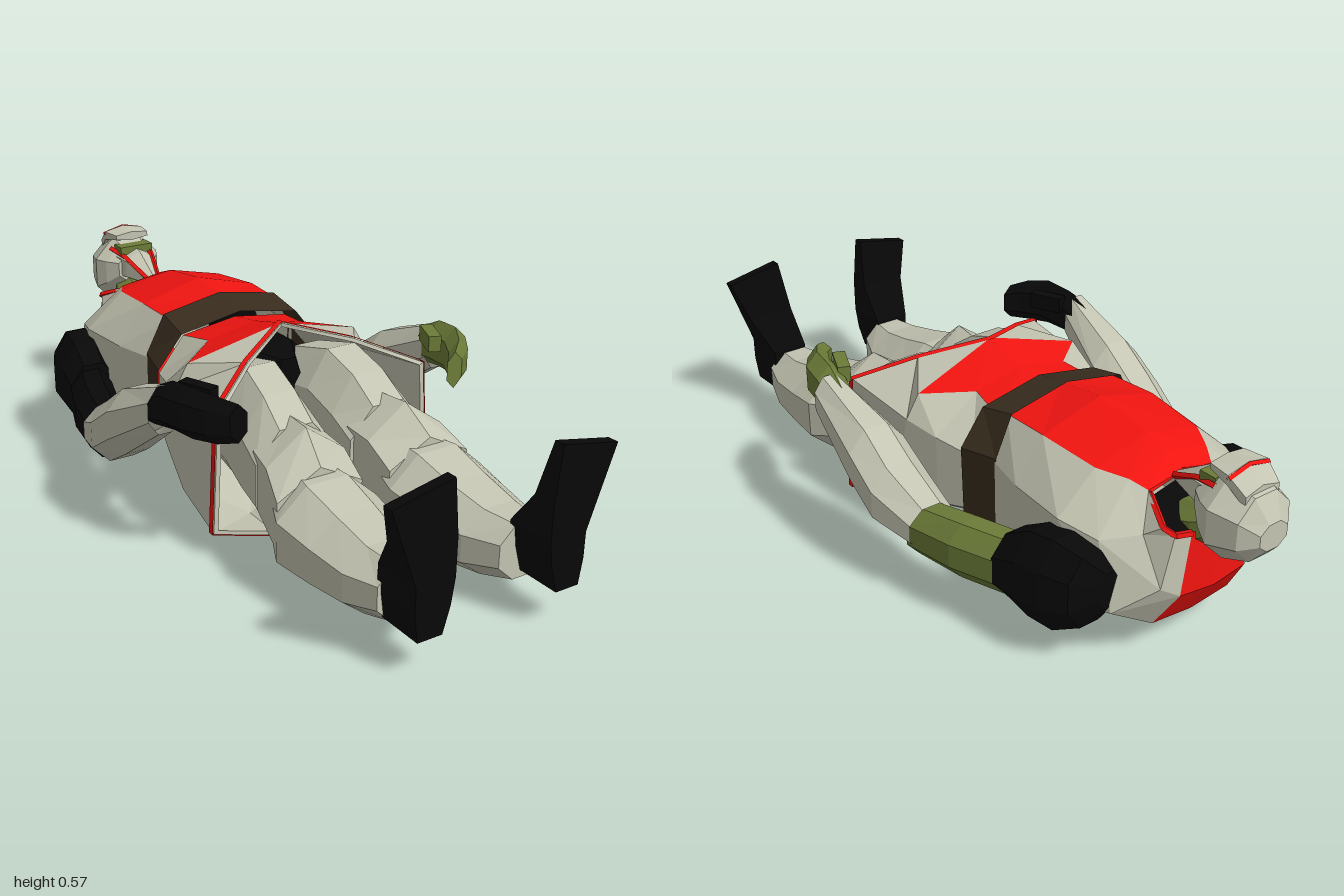
import * as THREE from 'three';

const mat = (color) => new THREE.MeshStandardMaterial({ color, flatShading: true, side: THREE.DoubleSide });
const CLOTH = mat(0xc4c4b2), RED = mat(0xf01410), GREEN = mat(0x6c7c38), BLACK = mat(0x080808), BROWN = mat(0x382c1e);

// Skin a list of equally long point rows
function grid(name, rows, material) {
  const pos = [];
  for (let i = 0; i < rows.length - 1; i++) {
    for (let j = 0; j < rows[i].length - 1; j++) {
      const a = rows[i][j], b = rows[i][j + 1], c = rows[i + 1][j + 1], d = rows[i + 1][j];
      pos.push(...a, ...b, ...d, ...b, ...c, ...d);
    }
  }
  const geo = new THREE.BufferGeometry();
  geo.setAttribute('position', new THREE.Float32BufferAttribute(pos, 3));
  geo.computeVertexNormals();
  const mesh = new THREE.Mesh(geo, material);
  mesh.name = name;
  return mesh;
}

// Elliptic sections [z, cx, cy, rx, ry] along z, with s = -1 for the mirrored side
function loft(name, sections, material, { s = 1, n = 8, caps = true } = {}) {
  const rows = sections.map(([z, cx, cy, rx, ry]) =>
    Array.from({ length: n + 1 }, (_, j) => {
      const t = ((j + 0.5) / n) * Math.PI * 2, k = 1 / Math.cos(Math.PI / n);
      return [s * (cx + rx * k * Math.cos(t)), cy + ry * k * Math.sin(t), z];
    }));
  if (caps) {
    const centre = ([z, cx, cy]) => Array(n + 1).fill([s * cx, cy, z]);
    rows.unshift(centre(sections[0]));
    rows.push(centre(sections[sections.length - 1]));
  }
  return grid(name, rows, material);
}

function box(name, [w, h, d], [x, y, z], material, ry = 0) {
  const mesh = new THREE.Mesh(new THREE.BoxGeometry(w, h, d), material);
  mesh.position.set(x, y, z);
  mesh.rotation.y = ry;
  mesh.name = name;
  return mesh;
}

// Thin piping through points
function piping(name, points, r) {
  const path = new THREE.CurvePath();
  const v = points.map((p) => new THREE.Vector3(...p));
  for (let i = 1; i < v.length; i++) path.add(new THREE.LineCurve3(v[i - 1], v[i]));
  const mesh = new THREE.Mesh(new THREE.TubeGeometry(path, 24, r, 4), RED);
  mesh.name = name;
  return mesh;
}

// Half body section: front centre, front panel edge, upper side, lower side, back panel edge, back centre
const half = ([z, slant, xF, yFC, yFE, xS, yU, yL, xB, yBE, yBC]) =>
  [[0, yFC], [xF, yFE], [xS, yU], [xS, yL], [xB, yBE], [0, yBC]].map(([x, y]) => [x, y, z + slant * (y - 0.2)]);
const flip = (row, s) => row.map(([x, y, z]) => [s * x, y, z]);
const cols = (rows, a, b) => rows.map((r) => r.slice(a, b + 1));
// Scale a section about the body axis and slide it along z
const swell = (row, k, dz = 0) => row.map(([x, y, z]) => [x * k, 0.26 + (y - 0.26) * k, z + dz]);

const COLLAR = [[0, 0.43, -0.69], [0.1, 0.42, -0.70], [0.14, 0.385, -0.79], [0.125, 0.37, -0.815], [0.08, 0.365, -0.825], [0, 0.365, -0.825]];
const CHEST = [COLLAR, ...[
  [-0.83, 0.57, 0.105, 0.44, 0.43, 0.16, 0.35, 0.23, 0.11, 0.20, 0.19],
  [-0.73, 0.30, 0.13, 0.475, 0.45, 0.25, 0.34, 0.16, 0.13, 0.09, 0.08],
  [-0.58, 0, 0.17, 0.50, 0.46, 0.285, 0.36, 0.14, 0.16, 0.045, 0.04],
  [-0.40, 0, 0.185, 0.525, 0.475, 0.27, 0.36, 0.15, 0.17, 0.06, 0.055],
  [-0.25, 0, 0.18, 0.505, 0.47, 0.235, 0.36, 0.18, 0.14, 0.09, 0.085],
].map(half)];
const BELT = [
  [-0.29, 0.05, 0.185, 0.515, 0.48, 0.24, 0.37, 0.17, 0.15, 0.07, 0.065],
  [-0.17, 0.04, 0.19, 0.49, 0.455, 0.265, 0.36, 0.16, 0.15, 0.085, 0.08],
].map(half);
const FLARE = [[0, 0.52, 0.055], [0.27, 0.445, 0.02], [0.31, 0.38, 0.02], [0.325, 0.11, 0.08], [0.15, 0, 0.13], [0, 0.055, 0.08]];
const HEM = [[0, 0.52, 0.06], [0.17, 0.475, 0.165], [0.325, 0.41, 0.275], [0.345, 0.07, 0.28], [0.17, 0.018, 0.28], [0.04, 0.006, 0.27]];
const SKIRT = [...[
  [-0.19, 0, 0.17, 0.465, 0.44, 0.25, 0.34, 0.18, 0.13, 0.10, 0.09],
  [-0.08, 0, 0.15, 0.485, 0.455, 0.285, 0.36, 0.16, 0.12, 0.085, 0.085],
].map(half), FLARE];

export function createModel() {
  const g = new THREE.Group();
  g.name = 'lyingFigure';

  for (const s of [1, -1]) {
    const chest = CHEST.map((r) => flip(r, s)), belt = BELT.map((r) => flip(r, s));
    const skirt = SKIRT.map((r) => flip(r, s)), hem = flip(HEM, s);

    // Tunic with red front and back panels
    g.add(grid('chestPanel', cols(chest, 0, 1), RED));
    g.add(grid('tunicSide', cols(chest, 1, 4), CLOTH));
    g.add(grid('backPanel', cols(chest, 4, 5), RED));
    g.add(grid('belt', belt, BROWN));
    g.add(piping('collarTrim', chest[0].slice(1, 5), 0.009));

    // Skirt, open at the front and notched behind, with a plain lining
    g.add(grid('skirtFrontPanel', cols(skirt, 0, 1), RED));
    g.add(grid('skirtSide', cols(skirt, 1, 4), CLOTH));
    g.add(grid('skirtBackPanel', cols([...skirt, hem], 4, 5), RED));
    g.add(grid('skirtLower', cols([skirt[2], hem], 0, 4), CLOTH));
    g.add(grid('skirtLining', [...skirt, hem].map((r) => swell(r, 0.96)), CLOTH));
    g.add(grid('hemEdge', [hem, swell(hem, 0.96)], CLOTH));
    g.add(grid('hemTrim', cols([swell(hem, 1.01), swell(hem, 1.01, -0.02)], 0, 4), RED));

    // Legs
    g.add(loft('thigh', [[0.0, 0.12, 0.28, 0.105, 0.14], [0.16, 0.13, 0.285, 0.11, 0.175],
      [0.27, 0.14, 0.25, 0.115, 0.17], [0.36, 0.145, 0.22, 0.12, 0.14]], CLOTH, { s }));
    g.add(loft('knee', [[0.33, 0.145, 0.235, 0.11, 0.125], [0.42, 0.155, 0.215, 0.118, 0.145],
      [0.51, 0.17, 0.18, 0.127, 0.115]], CLOTH, { s, n: 6 }));
    g.add(loft('shin', [[0.48, 0.165, 0.17, 0.125, 0.12], [0.54, 0.17, 0.16, 0.148, 0.13], [0.66, 0.17, 0.15, 0.135, 0.11],
      [0.78, 0.175, 0.145, 0.115, 0.09], [0.875, 0.18, 0.155, 0.08, 0.075]], CLOTH, { s }));

    // Boot: sections [y, x0, x1, z0] up from the heel, sole at z = 1
    const boot = [[0.1, 0.17, 0.24, 0.87], [0.17, 0.15, 0.25, 0.86], [0.24, 0.14, 0.25, 0.86], [0.34, 0.14, 0.285, 0.935], [0.47, 0.155, 0.325, 0.97]]
      .map(([y, x0, x1, z0]) => [[x0, z0], [x1, z0], [x1, 1], [x0, 1], [x0, z0]]
        .map(([x, z]) => [s * x, y + (y > 0.4 ? (0.24 - x) * 0.2 : 0), z]));
    const end = (r) => Array(5).fill([0, 1, 2].map((k) => (r[0][k] + r[2][k]) / 2));
    g.add(grid('boot', [end(boot[0]), ...boot, end(boot[4])], BLACK));

    // Arms, with one bare forearm and hand
    const skin = s > 0 ? GREEN : BLACK;
    g.add(loft('shoulder', [[-0.735, 0.25, 0.225, 0.03, 0.05], [-0.7, 0.28, 0.22, 0.07, 0.1], [-0.63, 0.305, 0.215, 0.078, 0.13],
      [-0.55, 0.315, 0.21, 0.078, 0.125], [-0.47, 0.325, 0.2, 0.075, 0.09]], BLACK, { s }));
    g.add(loft('elbow', [[-0.5, 0.325, 0.195, 0.065, 0.08], [-0.35, 0.375, 0.195, 0.068, 0.08],
      [-0.2, 0.405, 0.19, 0.062, 0.07]], skin, { s }));
    g.add(loft('gauntlet', [[-0.225, 0.405, 0.205, 0.068, 0.06], [-0.1, 0.418, 0.245, 0.088, 0.09],
      [0.0, 0.42, 0.31, 0.085, 0.095], [0.2, 0.435, 0.415, 0.047, 0.065]], CLOTH, { s, caps: false }));
    g.add(loft('hand', [[0.13, 0.43, 0.4, 0.035, 0.045], [0.22, 0.42, 0.43, 0.04, 0.058], [0.3, 0.41, 0.435, 0.037, 0.06],
      [0.36, 0.375, 0.43, 0.033, 0.055], [0.395, 0.335, 0.425, 0.025, 0.045]], skin, { s, n: 6 }));
    g.add(box('thumb', [0.035, 0.045, 0.1], [s * 0.365, 0.465, 0.25], skin, -s * 0.4));

    // Red edges of the face mask
    g.add(piping('maskTrim', [[s * 0.062, 0.505, -0.87], [s * 0.045, 0.49, -0.8], [s * 0.015, 0.435, -0.69]], 0.009));
  }

  // Collar lining, neck and hips
  g.add(grid('collarLining', [COLLAR, flip(COLLAR, -1)].map((r) => r.map(([x, y, z]) => [x, y - 0.01, z])), BLACK));
  g.add(loft('neck', [[-0.87, 0, 0.39, 0.05, 0.05], [-0.81, 0, 0.36, 0.075, 0.06], [-0.74, 0, 0.34, 0.085, 0.06]], GREEN));
  g.add(loft('hips', [[-0.18, 0, 0.28, 0.2, 0.15], [0, 0, 0.28, 0.17, 0.16], [0.1, 0, 0.28, 0.05, 0.15]], BLACK));

  // Hooded head looking up, with a visor over the eyes
  g.add(loft('hood', [[-1, 0, 0.415, 0.045, 0.035], [-0.965, 0, 0.425, 0.085, 0.085], [-0.89, 0, 0.425, 0.108, 0.11],
    [-0.85, 0, 0.435, 0.092, 0.085], [-0.81, 0, 0.45, 0.065, 0.05]], CLOTH));
  g.add(loft('faceMask', [[-0.87, 0, 0.46, 0.07, 0.055], [-0.79, 0, 0.455, 0.05, 0.045], [-0.69, 0, 0.43, 0.012, 0.012]], CLOTH, { n: 6 }));
  g.add(box('eyeBand', [0.11, 0.025, 0.05], [0, 0.508, -0.835], GREEN));
  g.add(loft('visor', [[-0.955, 0, 0.5, 0.055, 0.025], [-0.905, 0, 0.54, 0.065, 0.022], [-0.84, 0, 0.546, 0.055, 0.012]], CLOTH, { n: 6 }));
  g.add(piping('browTrim', [[-0.066, 0.545, -0.908], [0, 0.561, -0.908], [0.066, 0.545, -0.908]], 0.007));
  return g;
}
